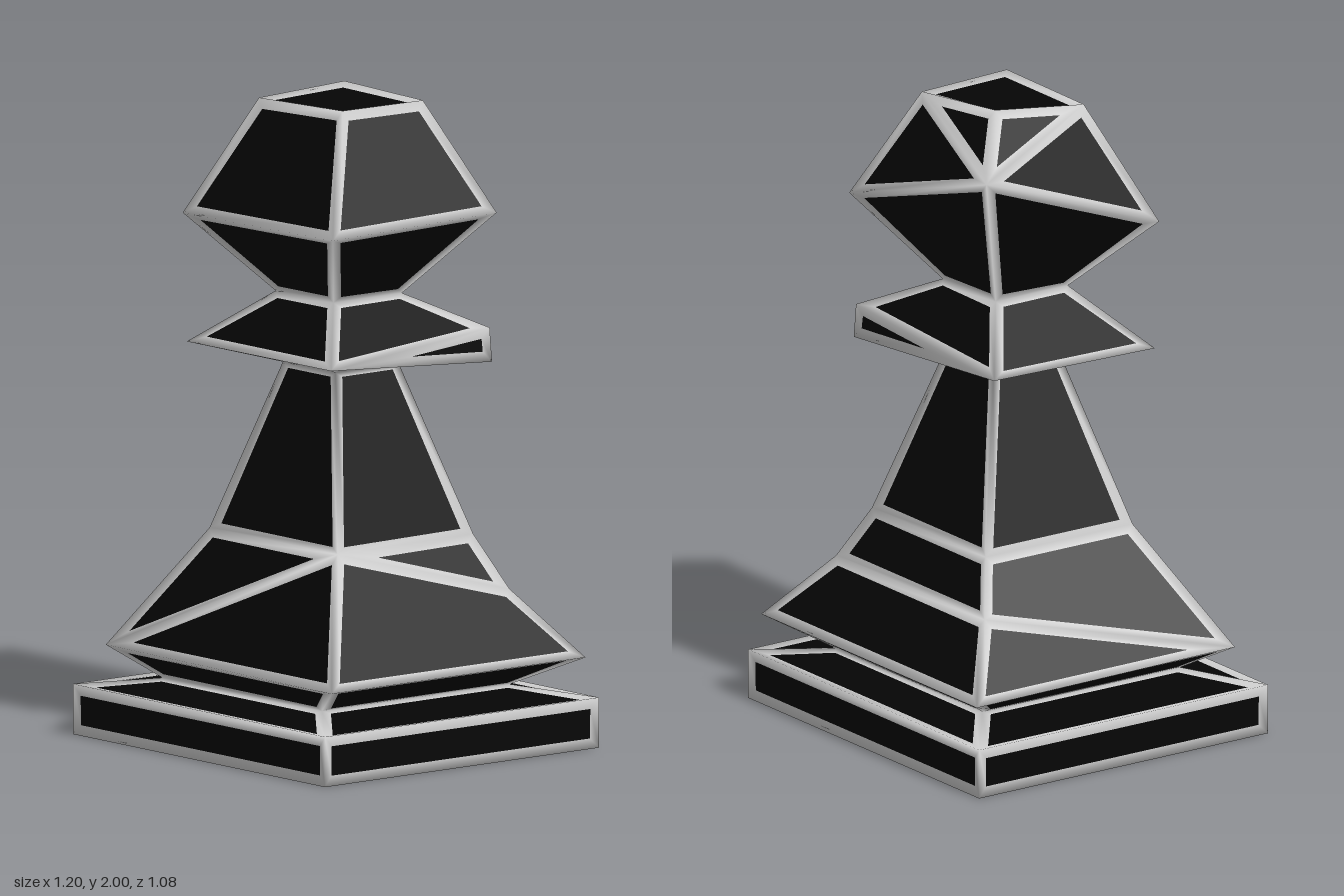
import * as THREE from 'three';

const FRAME_WIDTH = 0.024, FRAME_RISE = 0.012;

// Square rings from the base up; corners run front -x, front +x, back +x, back -x
const square = (x, y, z) => [[-x, y, z], [x, y, z], [x, y, -z], [-x, y, -z]];
const rings = [
  square(0.6, 0, 0.54),                                                                  // 0 base bottom
  square(0.6, 0.155, 0.54),                                                              // 1 base top
  square(0.38, 0.185, 0.37),                                                             // 2 foot
  [[-0.54, 0.275, 0.46], [0.56, 0.275, 0.48], [0.56, 0.275, -0.52], [-0.56, 0.275, -0.52]], // 3 skirt
  [[-0.3, 0.645, 0.25], [0.31, 0.645, 0.25], [0.29, 0.645, -0.3], [-0.3, 0.645, -0.3]],  // 4 waist
  [[-0.12, 1.165, 0.11], [0.13, 1.165, 0.11], [0.13, 1.165, -0.14], [-0.12, 1.165, -0.14]], // 5 stem top
  [[-0.36, 1.215, 0.29], [0.34, 1.22, 0.3], [0.345, 1.285, -0.32], [-0.345, 1.22, -0.3]], // 6 collar
  [[-0.13, 1.385, 0.13], [0.145, 1.385, 0.13], [0.145, 1.385, -0.14], [-0.13, 1.385, -0.14]], // 7 neck
  [[-0.355, 1.615, 0.31], [0.36, 1.625, 0.31], [0.36, 1.64, -0.335], [-0.325, 1.845, -0.315]], // 8 head middle
  [[-0.185, 1.975, 0.15], [0.2, 1.985, 0.14], [0.19, 1.98, -0.185], [-0.135, 2, -0.145]], // 9 head top
];
// Single corners: 40 and 41 on the back of the skirt, 42 under the collar
const extras = [[0.385, 0.48, -0.365], [-0.385, 0.48, -0.365], [0.35, 1.18, -0.325]];
const points = [...rings.flat(), ...extras].map((p) => new THREE.Vector3(...p));

// Four faces joining ring r to the ring above
const band = (r) => [0, 1, 2, 3].map((i) => {
  const j = (i + 1) % 4;
  return [r * 4 + i, r * 4 + j, r * 4 + 4 + j, r * 4 + 4 + i];
});

const parts = {
  base: [[3, 2, 1, 0], ...band(0), ...band(1)],
  skirt: [
    ...band(2),
    [12, 13, 17], [12, 17, 16],           // front
    [13, 14, 40, 17], [17, 40, 18],       // +x side
    [14, 15, 41, 40], [40, 41, 19, 18],   // back
    [15, 12, 41], [12, 16, 19, 41],       // -x side
  ],
  stem: band(4),
  collar: [
    [20, 21, 25, 24], [21, 22, 42, 25], [25, 42, 26],
    [22, 23, 27, 42], [42, 27, 26], [23, 20, 24, 27],
    ...band(6),
  ],
  head: [
    ...band(7),
    [32, 33, 37, 36], [33, 34, 38, 37],   // front and +x side
    [34, 35, 38], [35, 39, 38],           // back
    [35, 32, 36], [35, 36, 39],           // -x side
    [36, 37, 38, 39],                     // top
  ],
};

// Area vector of a polygon: its direction is the normal
function areaVector(loop) {
  const sum = new THREE.Vector3();
  loop.forEach((p, i) => sum.add(p.clone().cross(loop[(i + 1) % loop.length])));
  return sum.multiplyScalar(0.5);
}

// Move each corner of a polygon inwards, less on slivers
function inset(loop) {
  const n = loop.length;
  const perimeter = loop.reduce((s, p, i) => s + p.distanceTo(loop[(i + 1) % n]), 0);
  const width = Math.min(FRAME_WIDTH, 1.1 * areaVector(loop).length() / perimeter);
  return loop.map((p, i) => {
    const a = loop[(i + 1) % n].clone().sub(p).normalize();
    const b = loop[(i + n - 1) % n].clone().sub(p).normalize();
    const sine = Math.max(a.clone().cross(b).length(), 0.12);
    return p.clone().addScaledVector(a.add(b), width / sine);
  });
}

function makeMesh(name, material, positions, normals) {
  const g = new THREE.BufferGeometry();
  g.setAttribute('position', new THREE.Float32BufferAttribute(positions, 3));
  g.setAttribute('normal', new THREE.Float32BufferAttribute(normals, 3));
  const mesh = new THREE.Mesh(g, material);
  mesh.name = name;
  return mesh;
}

export function createModel() {
  const model = new THREE.Group();
  model.name = 'pawn';
  const panelMaterial = new THREE.MeshStandardMaterial({ color: 0x050505 });
  const frameMaterial = new THREE.MeshStandardMaterial({ color: 0xcccccc });

  // Corner normals, averaged over all faces that meet there
  const cornerNormals = points.map(() => new THREE.Vector3());
  for (const face of Object.values(parts).flat()) {
    const normal = areaVector(face.map((i) => points[i])).normalize();
    face.forEach((i) => cornerNormals[i].add(normal));
  }
  cornerNormals.forEach((n) => n.normalize());
  const sunk = points.map((p, i) => p.clone().addScaledVector(cornerNormals[i], -FRAME_RISE));

  for (const [name, faces] of Object.entries(parts)) {
    const panel = { p: [], n: [] }, frame = { p: [], n: [] };
    const triangle = (out, ...corners) => corners.forEach(([p, n]) => {
      out.p.push(p.x, p.y, p.z);
      out.n.push(n.x, n.y, n.z);
    });
    for (const face of faces) {
      const loop = face.map((i) => sunk[i]);
      const normal = areaVector(loop).normalize();
      const inner = inset(loop).map((p) => [p, normal]);
      const outer = face.map((i) => [points[i], cornerNormals[i]]);
      // Dark panel
      for (let k = 1; k < face.length - 1; k++) triangle(panel, inner[0], inner[k], inner[k + 1]);
      // Raised border sloping from the edge down to the panel
      face.forEach((_, k) => {
        const m = (k + 1) % face.length;
        triangle(frame, outer[k], outer[m], inner[m]);
        triangle(frame, outer[k], inner[m], inner[k]);
      });
    }
    const part = new THREE.Group();
    part.name = name;
    part.add(makeMesh(name + 'Panels', panelMaterial, panel.p, panel.n));
    part.add(makeMesh(name + 'Frame', frameMaterial, frame.p, frame.n));
    model.add(part);
  }
  return model;
}
